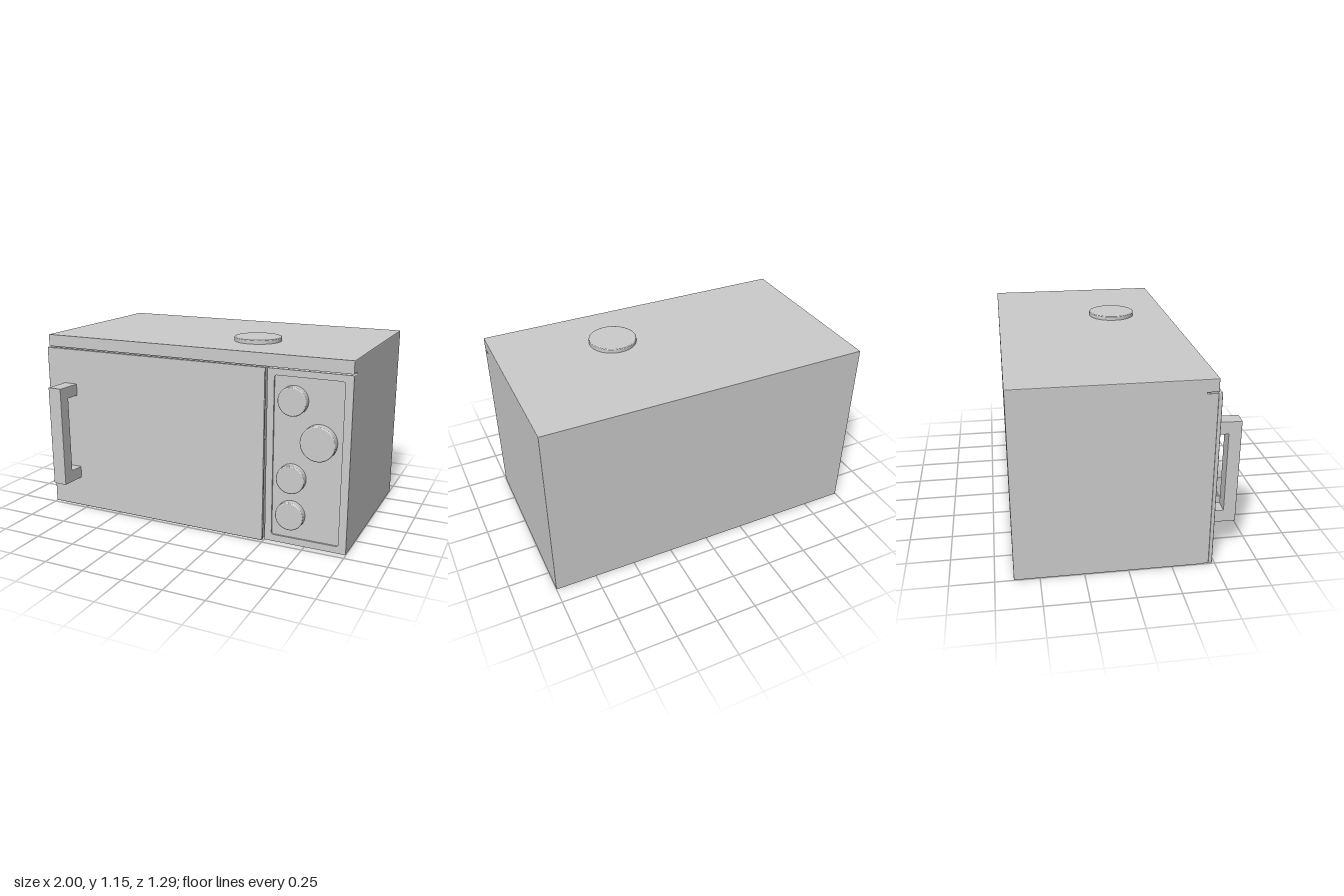
import * as THREE from 'three';
import { RoundedBoxGeometry } from 'three/addons/geometries/RoundedBoxGeometry.js';

const material = new THREE.MeshStandardMaterial({ color: 0xcccccc });

function add(parent, name, geometry, x = 0, y = 0, z = 0) {
  const mesh = new THREE.Mesh(geometry, material);
  mesh.name = name;
  mesh.position.set(x, y, z);
  parent.add(mesh);
  return mesh;
}

// Box given by its limits on each axis, with slightly softened edges
function block(parent, name, [x0, x1], [y0, y1], [z0, z1], radius = 0.005) {
  const geometry = new RoundedBoxGeometry(x1 - x0, y1 - y0, z1 - z0, 2, radius);
  return add(parent, name, geometry, (x0 + x1) / 2, (y0 + y1) / 2, (z0 + z1) / 2);
}

// Side profile of [z, y] points extruded along x, centred on x = 0
function sideExtrude(points, width, bevel) {
  const shape = new THREE.Shape(points.map(([z, y]) => new THREE.Vector2(z, y)));
  const geometry = new THREE.ExtrudeGeometry(shape, {
    depth: width - 2 * bevel, bevelEnabled: true, bevelThickness: bevel,
    bevelSize: bevel, bevelOffset: -bevel, bevelSegments: 2,
  });
  geometry.translate(0, 0, bevel - width / 2);
  return geometry.rotateY(-Math.PI / 2);
}

function roundedRect(path, x0, y0, x1, y1, r) {
  path.moveTo(x0 + r, y0);
  path.lineTo(x1 - r, y0);
  path.absarc(x1 - r, y0 + r, r, -Math.PI / 2, 0);
  path.lineTo(x1, y1 - r);
  path.absarc(x1 - r, y1 - r, r, 0, Math.PI / 2);
  path.lineTo(x0 + r, y1);
  path.absarc(x0 + r, y1 - r, r, Math.PI / 2, Math.PI);
  path.lineTo(x0, y0 + r);
  path.absarc(x0 + r, y0 + r, r, Math.PI, Math.PI * 1.5);
  return path;
}

// Disc with a small rounded rim, base at y = 0
function disc(radius, height, bevel = 0.006) {
  const profile = [[0, 0], [radius, 0], [radius, 0], [radius, height - bevel], [radius, height - bevel],
    [radius - bevel * 0.3, height - bevel * 0.3], [radius - bevel, height], [radius - bevel, height], [0, height]];
  return new THREE.LatheGeometry(profile.map(([x, y]) => new THREE.Vector2(x, y)), 48);
}

export function createModel() {
  const model = new THREE.Group();
  model.name = 'microwaveOven';

  // Casing with a lip that overhangs the front
  add(model, 'casing', sideExtrude(
    [[-0.645, 0], [0.4, 0], [0.4, 1.056], [0.465, 1.056], [0.465, 1.13], [-0.645, 1.13]], 2, 0.004));

  // Door with its inner frame
  block(model, 'doorFrame', [-1, 0.49], [0.003, 1.05], [0.39, 0.463], 0.003);
  block(model, 'door', [-1, 0.496], [0.003, 1.052], [0.463, 0.485]);

  // C-shaped handle, turned slightly about the vertical
  const handle = add(model, 'doorHandle', sideExtrude(
    [[0, 0.2], [0.165, 0.2], [0.165, 0.83], [0, 0.83],
      [0, 0.755], [0.092, 0.755], [0.092, 0.275], [0, 0.275]], 0.092, 0.003), -0.834, 0, 0.48);
  handle.rotation.y = -0.04;

  // Control panel: frame around a shallow recess
  const frame = roundedRect(new THREE.Shape(), 0.503, 0.003, 1, 1.048, 0.004);
  frame.holes.push(roundedRect(new THREE.Path(), 0.545, 0.045, 0.953, 1.01, 0.015));
  add(model, 'panelFrame', new THREE.ExtrudeGeometry(frame, { depth: 0.07, bevelEnabled: false }), 0, 0, 0.392);
  block(model, 'panelRecess', [0.52, 0.98], [0.02, 1.03], [0.395, 0.452], 0.002);

  // Control knobs: x, y, radius, front z
  const knobs = [[0.663, 0.875, 0.085, 0.497], [0.82, 0.65, 0.103, 0.502],
    [0.663, 0.415, 0.085, 0.497], [0.663, 0.19, 0.085, 0.497]];
  knobs.forEach(([x, y, radius, front], i) => {
    const knob = disc(radius, front - 0.45).rotateX(Math.PI / 2);
    add(model, `controlKnob${i + 1}`, knob, x, y, 0.45);
  });

  // Round cap on the top
  add(model, 'topCap', disc(0.145, 0.027, 0.004), 0.295, 1.128, 0.097);

  return model;
}
